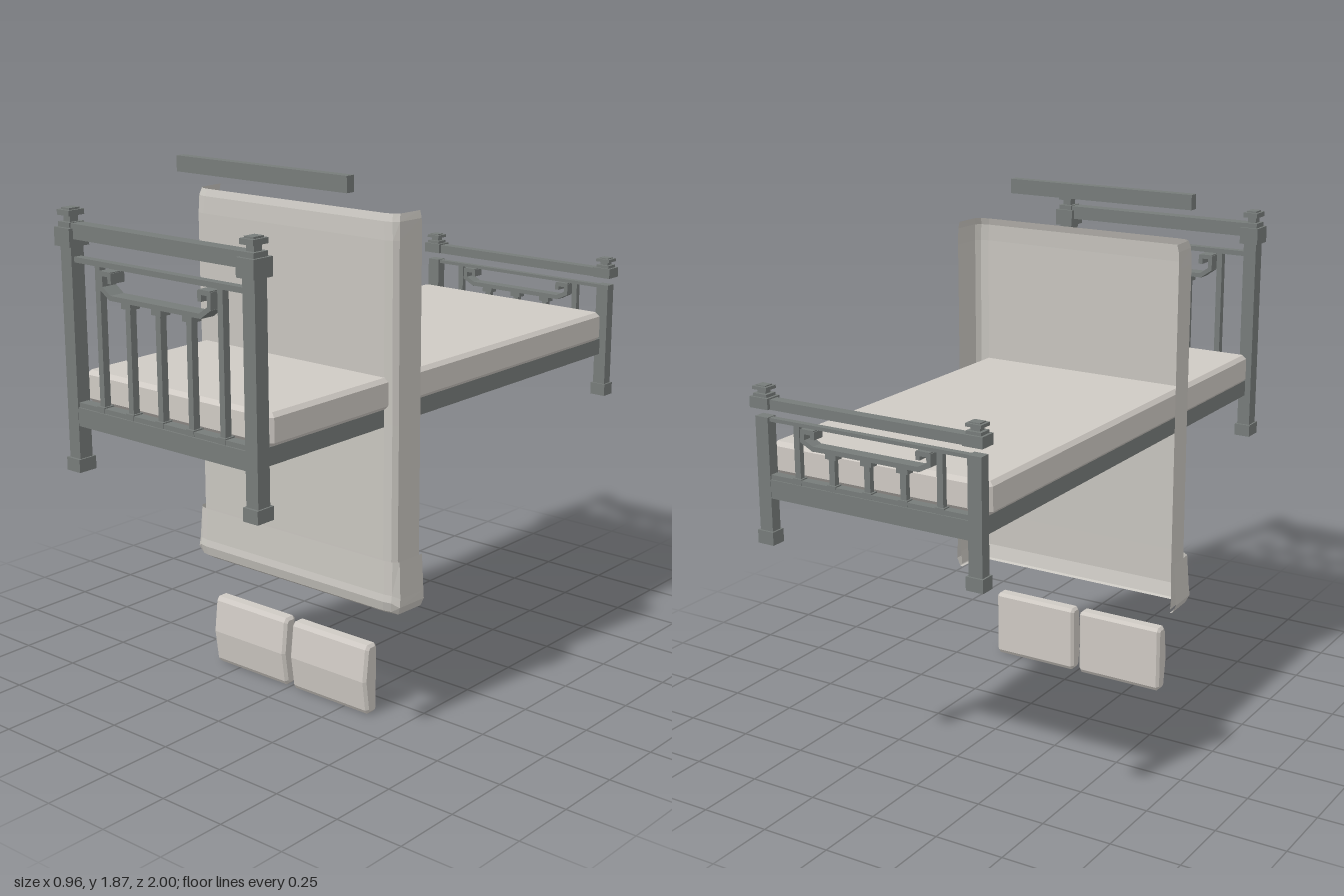
import * as THREE from 'three';

const mat = (color, side = THREE.FrontSide) =>
  new THREE.MeshStandardMaterial({ color, side, flatShading: true });
const frameMat = mat(0x777c7a);
const clothMat = mat(0xcfcac4);
const sheetMat = mat(0xc8c5bf, THREE.DoubleSide);

function add(parent, name, geometry, material) {
  const mesh = new THREE.Mesh(geometry, material);
  mesh.name = name;
  parent.add(mesh);
  return mesh;
}

// Box spanning y0..y1, centred on x and z
function box(parent, name, w, y0, y1, d, x = 0, z = 0, material = frameMat) {
  const mesh = add(parent, name, new THREE.BoxGeometry(w, y1 - y0, d), material);
  mesh.position.set(x, (y0 + y1) / 2, z);
  return mesh;
}

// Square post with foot, collar and stacked finial
function post(parent, x, top, zs) {
  const g = new THREE.Group();
  g.name = 'post';
  const y = top - 0.123;
  box(g, 'postShaft', 0.05, 0.9, y + 0.02, 0.053 * zs);
  box(g, 'postFoot', 0.062, 0.878, 0.923, 0.072 * zs);
  const c = top > 1.6 ? 1 : 0.6;
  const at = h => top - h * c;
  box(g, 'collar', 0.072, at(0.123), at(0.062), 0.083 * zs);
  box(g, 'finialBase', 0.054, at(0.062), at(0.045), 0.062 * zs);
  box(g, 'finialNeck', 0.032, at(0.045), at(0.024), 0.034 * zs);
  box(g, 'finialCap', 0.056, at(0.024), at(0.006), 0.066 * zs);
  box(g, 'finialTip', 0.038, at(0.006), top, 0.045 * zs);
  if (c < 1) g.children[0].scale.y = 1;
  g.position.x = x;
  parent.add(g);
}

// Rail with curled ends, drawn as an outline of constant width
function curledRail(parent, y0, y1, depth) {
  const g = new THREE.Group();
  g.name = 'curledRail';
  const h = y1 - y0;
  const path = [[0, 0.1], [0.2, 0.1], [0.24, 0.4], [0.24, 0.9], [0.2, 0.9], [0.2, 0.64]];
  const t = 0.016;
  for (const s of [-1, 1]) {
    for (let i = 1; i < path.length; i++) {
      const [ax, ay] = path[i - 1], [bx, by] = path[i];
      const dx = s * (bx - ax), dy = (by - ay) * h;
      const seg = add(g, 'railSegment',
        new THREE.BoxGeometry(Math.hypot(dx, dy) + t * 0.6, t, depth), frameMat);
      seg.position.set(s * (ax + bx) / 2, y0 + (ay + by) / 2 * h, 0);
      seg.rotation.z = Math.atan2(dy, dx);
    }
  }
  parent.add(g);
}

// Head or foot end of the frame
function endBoard(name, z, o) {
  const g = new THREE.Group();
  g.name = name;
  const zs = o.zs;
  for (const s of [-1, 1]) post(g, s * 0.403, o.top, zs);
  box(g, 'topRail', 0.76, o.rail[0], o.rail[1], 0.05 * zs);
  box(g, 'thinRail', 0.76, o.thin[0], o.thin[1], 0.03 * zs);
  box(g, 'bottomRail', 0.76, 1.037, 1.1, 0.05 * zs);
  box(g, 'bottomRailLip', 0.76, 1.1, 1.116, 0.038 * zs);
  for (let i = -2; i <= 2; i++) {
    const outer = Math.abs(i) === 2;
    const yTop = outer ? o.thin[0] : o.curl[0];
    const x = i * 0.136;
    box(g, 'spindle', 0.022, 1.1, yTop, 0.026 * zs, x);
    box(g, 'spindleFoot', 0.034, 1.1, 1.12, 0.042 * zs, x);
    if (!outer) box(g, 'spindleCap', 0.042, yTop - 0.02, yTop + 0.002, 0.042 * zs, x);
  }
  curledRail(g, o.curl[0], o.curl[1], 0.058 * zs);
  g.position.z = z;
  return g;
}

// Box with chamfered edges, extruded upwards
function chamferedSlab(w, h, d, b) {
  const s = new THREE.Shape();
  const x = w / 2, z = d / 2;
  [[-x + b, -z], [x - b, -z], [x, -z + b], [x, z - b], [x - b, z], [-x + b, z], [-x, z - b], [-x, -z + b]]
    .forEach(([px, pz], i) => (i ? s.lineTo(px, pz) : s.moveTo(px, pz)));
  const geo = new THREE.ExtrudeGeometry(s, {
    depth: h - 2 * b, bevelSize: b, bevelThickness: b, bevelOffset: -b, bevelSegments: 1,
  });
  return geo.translate(0, 0, b).rotateX(-Math.PI / 2);
}

// Pillow: side profile [z, y] extruded across x
function pillow(parent, x0, x1) {
  const profile = [[0.335, 0.02], [0.345, 0.005], [0.38, 0.005], [0.39, 0.02], [0.405, 0.13],
    [0.391, 0.245], [0.38, 0.26], [0.345, 0.26], [0.335, 0.248]];
  const s = new THREE.Shape(profile.map(([z, y]) => new THREE.Vector2(-z, y)));
  const b = 0.01;
  const geo = new THREE.ExtrudeGeometry(s, {
    depth: x1 - x0 - 2 * b, bevelSize: b, bevelThickness: b, bevelOffset: -b, bevelSegments: 1,
  });
  geo.rotateY(Math.PI / 2).translate(x0 + b, 0, 0);
  add(parent, 'pillow', geo, clothMat);
}

// Sheet lofted from rows; each row is a U: flat panel, rounded corner, side flap
function loftSheet(parent, name, rows) {
  const pos = [], idx = [];
  for (const [y, half, flap, z, sag] of rows) {
    const side = [[flap, 0.23], [flap - 0.005, z - 0.022], [half + 0.01, z - 0.006], [half - 0.02, z]];
    const line = [...side.map(([x, pz]) => [-x, pz]), ...side.reverse()];
    line.forEach(([x, pz], i) => pos.push(x, y + (i < 2 || i > 5 ? sag : 0), pz));
  }
  const n = 8;
  for (let r = 0; r < rows.length - 1; r++) {
    for (let i = 0; i < n - 1; i++) {
      const a = r * n + i;
      idx.push(a, a + n, a + 1, a + 1, a + n, a + n + 1);
    }
  }
  const geo = new THREE.BufferGeometry();
  geo.setAttribute('position', new THREE.Float32BufferAttribute(pos, 3));
  geo.setIndex(idx);
  geo.computeVertexNormals();
  add(parent, name, geo, sheetMat);
}

export function createModel() {
  const model = new THREE.Group();
  model.name = 'bed';

  // Frame ends
  model.add(endBoard('headboard', 0.959, {
    top: 1.757, zs: 1, rail: [1.66, 1.71], thin: [1.582, 1.6], curl: [1.482, 1.575],
  }));
  model.add(endBoard('footboard', -0.967, {
    top: 1.41, zs: 0.74, rail: [1.335, 1.368], thin: [1.293, 1.305], curl: [1.226, 1.29],
  }));

  // Base and mattress
  box(model, 'bedBase', 0.81, 1.04, 1.1, 1.88);
  const mattress = add(model, 'mattress', chamferedSlab(0.84, 0.108, 1.84, 0.014), clothMat);
  mattress.position.set(0, 1.1, -0.005);

  // Upright blanket and its turned fold: [y, panel half width, flap x, panel z, flap sag]
  loftSheet(model, 'blanket', [
    [1.745, 0.415, 0.447, 0.348, 0], [1.72, 0.42, 0.453, 0.357, 0], [1.66, 0.425, 0.455, 0.36, 0],
    [1.05, 0.425, 0.455, 0.358, 0], [0.58, 0.425, 0.455, 0.36, 0], [0.45, 0.425, 0.458, 0.36, 0],
    [0.4, 0.425, 0.455, 0.345, 0],
  ]);
  loftSheet(model, 'blanketFold', [
    [0.578, 0.435, 0.468, 0.366, 0], [0.46, 0.437, 0.476, 0.371, -0.01],
    [0.435, 0.438, 0.478, 0.376, -0.015], [0.4, 0.432, 0.464, 0.367, -0.01],
    [0.388, 0.425, 0.455, 0.35, 0],
  ]);

  // Pillows and loose rail
  pillow(model, -0.36, -0.012);
  pillow(model, 0.014, 0.362);
  box(model, 'looseRail', 0.752, 1.824, 1.878, 0.035, -0.002, 0.49);

  return model;
}
